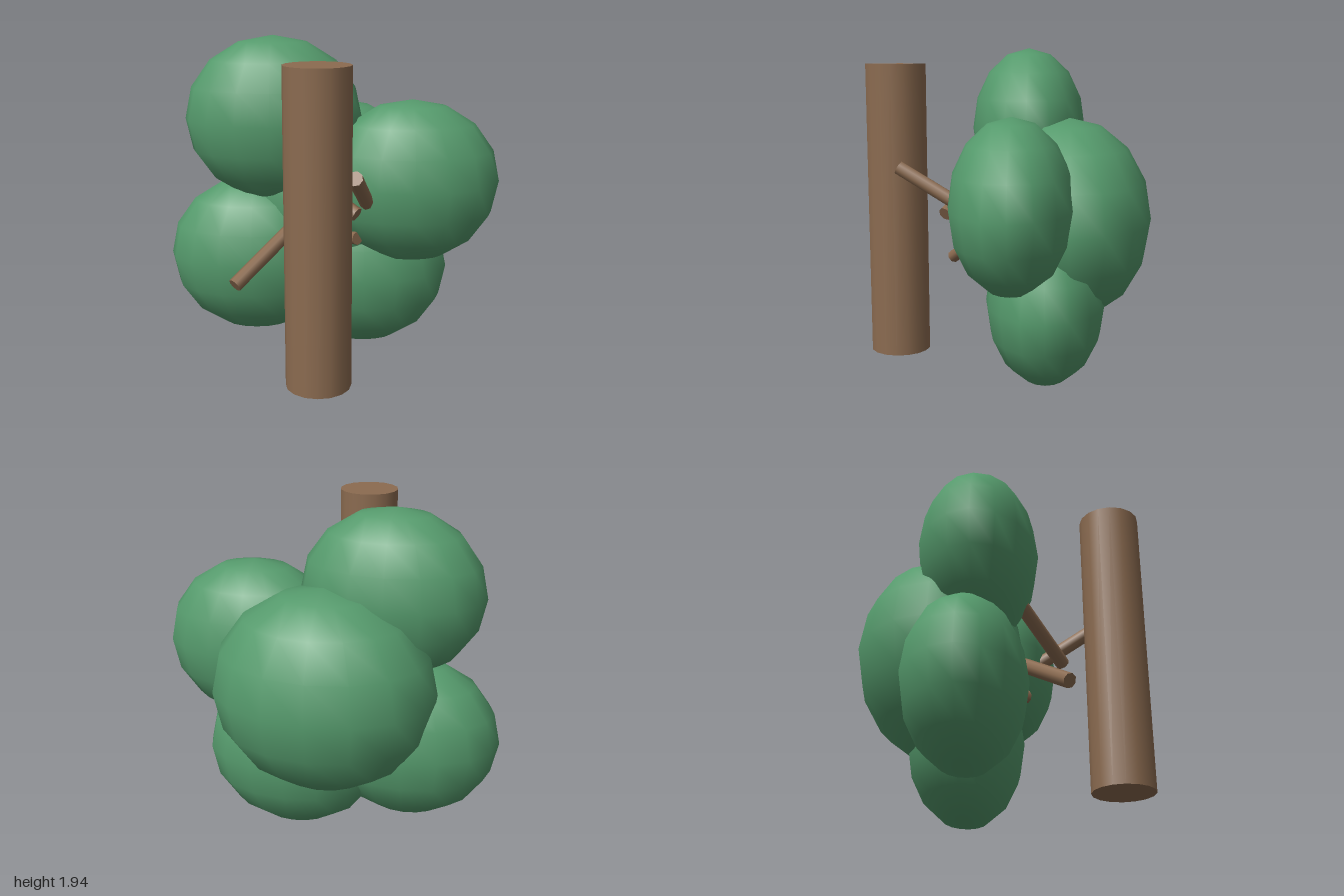
import * as THREE from 'three';

const bark = new THREE.MeshStandardMaterial({ color: 0x8b6b50 });
const leaves = new THREE.MeshStandardMaterial({ color: 0x559a6c });

// Straight round limb between two points
function limb(name, from, to, radius, sides) {
  const a = new THREE.Vector3(...from), b = new THREE.Vector3(...to);
  const dir = b.clone().sub(a);
  const mesh = new THREE.Mesh(new THREE.CylinderGeometry(radius, radius, dir.length(), sides), bark);
  mesh.quaternion.setFromUnitVectors(new THREE.Vector3(0, 1, 0), dir.normalize());
  mesh.position.copy(a).add(b).multiplyScalar(0.5);
  mesh.name = name;
  return mesh;
}

// Flattened ball of foliage
function foliage(name, center, radii) {
  const geometry = new THREE.SphereGeometry(1, 16, 8).scale(...radii);
  const mesh = new THREE.Mesh(geometry, leaves);
  mesh.position.set(...center);
  mesh.name = name;
  return mesh;
}

export function createModel() {
  const tree = new THREE.Group();
  tree.name = 'tree';

  // Trunk stands in front of the crown
  tree.add(limb('trunk', [-0.07, 0.11, 0.67], [-0.07, 1.855, 0.67], 0.18, 16));

  // Branches reaching back into the foliage
  tree.add(
    limb('lowerRightBranch', [-0.55, 0.58, 0.39], [-0.17, 0.89, 0.03], 0.042, 8),
    limb('middleBranch', [0.14, 0.99, 0.36], [-0.32, 1.26, 0.07], 0.042, 8),
    limb('upperLeftBranch', [0.125, 1.26, 0.63], [0.21, 0.99, 0.16], 0.042, 8),
    limb('innerBranch', [0.15, 0.785, 0.14], [-0.1, 0.74, -0.15], 0.04, 8),
  );

  // Crown: four equal clumps around a larger one at the back
  const clump = [0.527, 0.49, 0.348];
  tree.add(
    foliage('upperRightFoliage', [-0.35, 1.456, -0.115], clump),
    foliage('upperLeftFoliage', [0.47, 1.09, -0.042], clump),
    foliage('lowerRightFoliage', [-0.473, 0.605, -0.17], clump),
    foliage('lowerLeftFoliage', [0.19, 0.495, -0.23], clump),
    foliage('backFoliage', [-0.01, 0.945, -0.36], [0.645, 0.598, 0.492]),
  );
  return tree;
}
